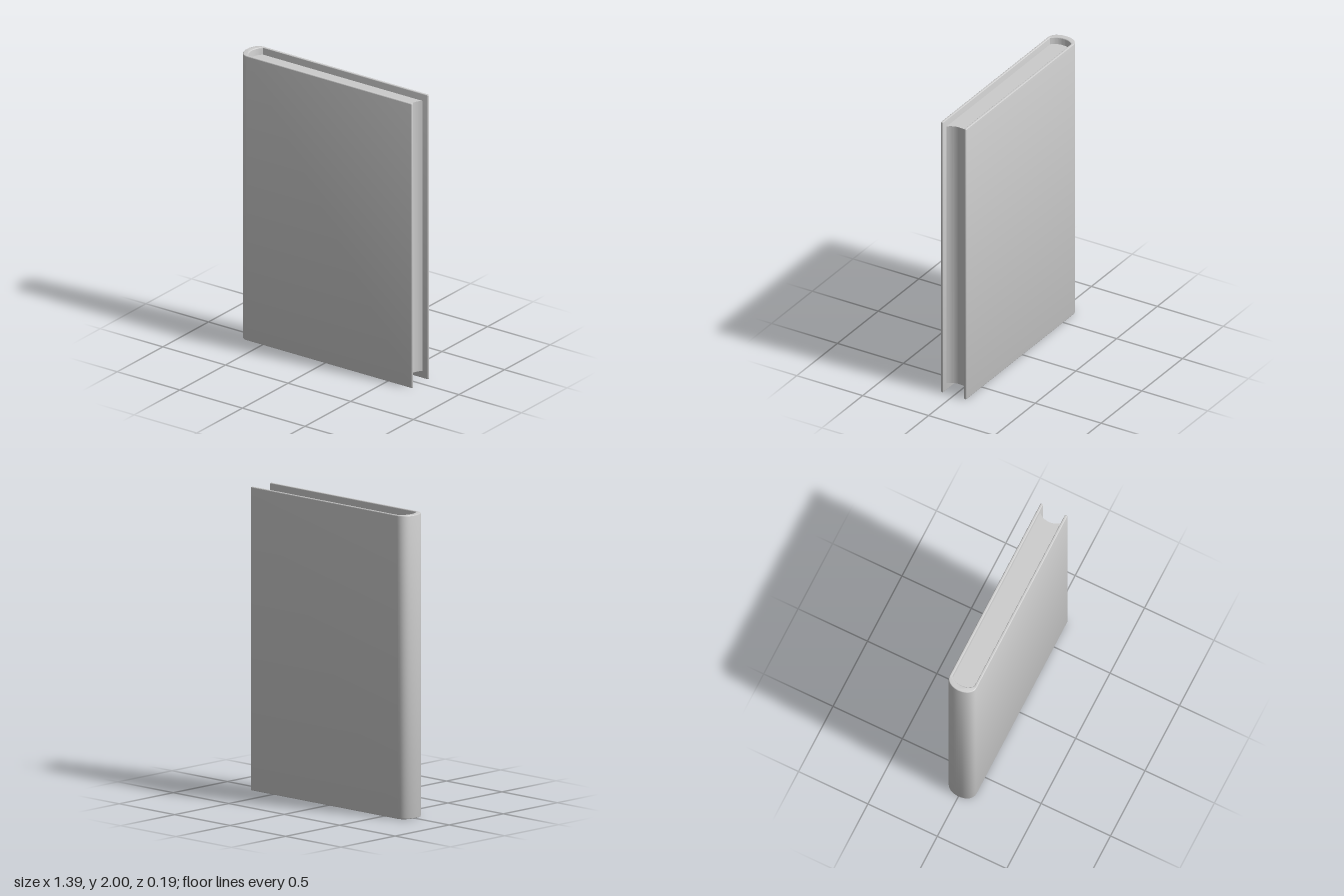
import * as THREE from 'three';
import { toCreasedNormals } from 'three/addons/utils/BufferGeometryUtils.js';

const HEIGHT = 2;
const OUT = 0.097;      // half thickness over the covers
const IN = 0.079;       // half thickness between the covers
const FORE = 0.695;     // fore edge of the boards
const PAGE_INSET = 0.05;

// Extrudes a plan outline (x, z) upwards, with optional rounded rims
function standUp(shape, y0, y1, bevel, curveSegments) {
  const geometry = new THREE.ExtrudeGeometry(shape, {
    depth: y1 - y0 - 2 * bevel,
    bevelEnabled: bevel > 0,
    bevelSize: bevel,
    bevelThickness: bevel,
    bevelOffset: -bevel,
    bevelSegments: 3,
    curveSegments,
  });
  geometry.rotateX(-Math.PI / 2);
  geometry.translate(0, y0 + bevel, 0);
  return toCreasedNormals(geometry, 0.7);
}

// One board's rounded fore edge, running from z = a to z = b
function roundedEnd(shape, a, b) {
  const r = 0.007, s = Math.sign(b - a);
  shape.lineTo(FORE - r, a);
  shape.quadraticCurveTo(FORE, a, FORE, a + s * r);
  shape.lineTo(FORE, b - s * r);
  shape.quadraticCurveTo(FORE, b, FORE - r, b);
}

export function createModel() {
  const book = new THREE.Group();
  book.name = 'book';
  const material = new THREE.MeshStandardMaterial({ color: 0xcccccc });

  // Cover: two boards joined by a thick rounded spine
  const cover = new THREE.Shape();
  cover.moveTo(-0.625, -OUT);
  roundedEnd(cover, -OUT, -IN);
  cover.lineTo(-0.622, -IN);
  cover.bezierCurveTo(-0.645, -0.055, -0.655, -0.03, -0.655, 0);
  cover.bezierCurveTo(-0.655, 0.03, -0.645, 0.055, -0.622, IN);
  roundedEnd(cover, IN, OUT);
  cover.lineTo(-0.625, OUT);
  cover.bezierCurveTo(-0.67, OUT, -0.695, 0.05, -0.695, 0);
  cover.bezierCurveTo(-0.695, -0.05, -0.67, -OUT, -0.625, -OUT);
  const coverMesh = new THREE.Mesh(standUp(cover, 0, HEIGHT, 0.005, 10), material);
  coverMesh.name = 'cover';

  // Page block: rounded at the spine, hollowed along the fore edge
  const pages = new THREE.Shape();
  pages.moveTo(-0.622, -IN);
  pages.lineTo(0.65, -IN);
  pages.bezierCurveTo(0.628, -0.055, 0.619, -0.03, 0.619, 0);
  pages.bezierCurveTo(0.619, 0.03, 0.628, 0.055, 0.65, IN);
  pages.lineTo(-0.622, IN);
  pages.bezierCurveTo(-0.645, 0.055, -0.655, 0.03, -0.655, 0);
  pages.bezierCurveTo(-0.655, -0.03, -0.645, -0.055, -0.622, -IN);
  const pageMesh = new THREE.Mesh(
    standUp(pages, PAGE_INSET, HEIGHT - PAGE_INSET, 0, 10), material);
  pageMesh.name = 'pages';

  book.add(coverMesh, pageMesh);
  return book;
}
